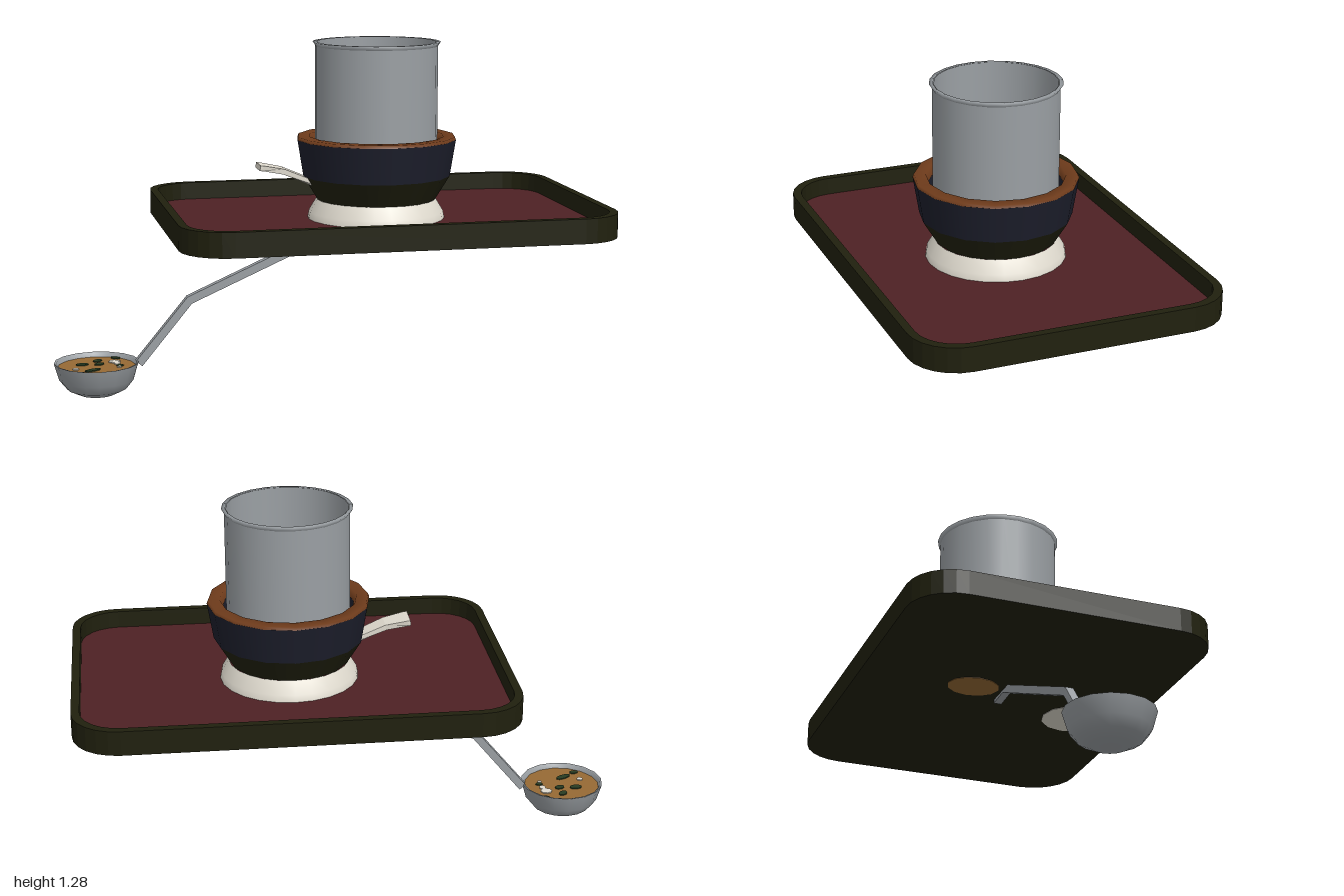
import * as THREE from 'three';

const mat = (name, color) => {
  const m = new THREE.MeshStandardMaterial({ color, side: THREE.DoubleSide });
  m.name = name;
  return m;
};

export function createModel() {
  const root = new THREE.Group();
  const M = {
    lacquer: mat('dark lacquer', 0x20200e),
    maroon: mat('maroon', 0x4e2124),
    navy: mat('navy glaze', 0x1c1e2b),
    brown: mat('brown rim', 0x6e3b1b),
    steel: mat('steel', 0x9a9fa3),
    ceramic: mat('white ceramic', 0xe0dbcf),
    broth: mat('broth', 0x966a34),
    herb: mat('herb green', 0x283c22),
  };
  const add = (parent, name, geo, m, x = 0, y = 0, z = 0) => {
    const mesh = new THREE.Mesh(geo, m);
    mesh.name = name;
    mesh.position.set(x, y, z);
    parent.add(mesh);
    return mesh;
  };
  const group = (name, x = 0, y = 0, z = 0) => {
    const g = new THREE.Group();
    g.name = name;
    g.position.set(x, y, z);
    root.add(g);
    return g;
  };
  const lathe = (pts, sides) =>
    new THREE.LatheGeometry(pts.map(p => new THREE.Vector2(p[0], p[1])), sides);

  // Rounded rectangle lying flat, half sizes a and b
  const roundRect = (a, b, r, Type = THREE.Shape) => {
    const s = new Type();
    s.moveTo(-a + r, -b);
    s.lineTo(a - r, -b);
    s.absarc(a - r, -b + r, r, -Math.PI / 2, 0, false);
    s.absarc(a - r, b - r, r, 0, Math.PI / 2, false);
    s.absarc(-a + r, b - r, r, Math.PI / 2, Math.PI, false);
    s.absarc(-a + r, -b + r, r, Math.PI, Math.PI * 1.5, false);
    return s;
  };
  const slab = (shape, depth) => new THREE.ExtrudeGeometry(shape,
    { depth, bevelEnabled: false, curveSegments: 3 }).rotateX(-Math.PI / 2);

  // Tray: raised wall, base and coloured floor
  const tray = group('tray', 0.205, 0.605, 0);
  const wall = roundRect(0.795, 0.565, 0.17);
  wall.holes.push(roundRect(0.765, 0.535, 0.145, THREE.Path));
  add(tray, 'trayWall', slab(wall, 0.09), M.lacquer);
  add(tray, 'trayBase', slab(roundRect(0.78, 0.55, 0.16), 0.018), M.lacquer);
  add(tray, 'trayFloor', slab(roundRect(0.767, 0.537, 0.145), 0.006), M.maroon, 0, 0.019, 0);

  // Bowl on its white foot
  const bowl = group('bowl', 0.205, 0, 0);
  add(bowl, 'foot', lathe([[0.255, 0.628], [0.25, 0.655], [0.222, 0.702]], 24), M.ceramic);
  add(bowl, 'lowerBowl', lathe([[0.22, 0.7], [0.275, 0.79]], 16), M.lacquer);
  add(bowl, 'upperBowl', lathe([[0.275, 0.79], [0.297, 0.925]], 16), M.navy);
  add(bowl, 'bowlRim', lathe([[0.297, 0.925], [0.293, 0.936], [0.25, 0.936], [0.24, 0.91]], 16), M.brown);
  add(bowl, 'bowlInside', lathe([[0.24, 0.91], [0.22, 0.8], [0.16, 0.712]], 16), M.navy);
  add(bowl, 'bowlBottom', new THREE.CylinderGeometry(0.168, 0.168, 0.008, 24), M.ceramic, 0, 0.715, 0);

  // Open steel tube with a flared lip
  const pot = group('pot', 0.205, 0, 0);
  add(pot, 'potOuter', lathe([[0.226, 0.77], [0.226, 1.27]], 24), M.steel);
  add(pot, 'potLip', lathe([[0.226, 1.268], [0.236, 1.283], [0.222, 1.283]], 24), M.steel);
  add(pot, 'potInner', lathe([[0.22, 1.283], [0.216, 0.77]], 24), M.steel);

  // Bar that follows a side profile, extruded across z
  const bar = (pts, thick, width) => {
    const up = [], down = [];
    pts.forEach((p, i) => {
      const a = pts[Math.max(i - 1, 0)], b = pts[Math.min(i + 1, pts.length - 1)];
      const n = new THREE.Vector2(a[1] - b[1], b[0] - a[0]).setLength(thick / 2);
      up.push(new THREE.Vector2(p[0] + n.x, p[1] + n.y));
      down.unshift(new THREE.Vector2(p[0] - n.x, p[1] - n.y));
    });
    return new THREE.ExtrudeGeometry(new THREE.Shape([...up, ...down]),
      { depth: width, bevelEnabled: false }).translate(0, 0, -width / 2);
  };

  // Spoon through the bowl wall, widening toward its outer end
  const spoonGeo = bar([[-0.24, 0.832], [-0.225, 0.83], [-0.15, 0.815], [-0.09, 0.79],
    [0, 0.75], [0.085, 0.728]], 0.02, 1);
  const sp = spoonGeo.attributes.position;
  for (let i = 0; i < sp.count; i++) {
    const x = sp.getX(i);
    sp.setZ(i, sp.getZ(i) * (x < -0.22 ? 0.095 : x < -0.12 ? 0.078 : 0.066));
  }
  spoonGeo.computeVertexNormals();
  add(root, 'spoon', spoonGeo, M.ceramic);

  // Ladle: cup, broth with pieces, bent handle
  const ladle = group('ladle', -0.845, 0, 0);
  add(ladle, 'ladleCup', lathe([[0, 0], [0.065, 0.008], [0.11, 0.03], [0.138, 0.065], [0.156, 0.127]], 16), M.steel);
  add(ladle, 'ladleInside', lathe([[0.156, 0.127], [0.148, 0.125], [0.14, 0.1]], 16), M.steel);
  add(ladle, 'broth', new THREE.CylinderGeometry(0.144, 0.142, 0.006, 16), M.broth, 0, 0.107, 0);
  const piece = (name, m, x, z, rx, rz, turn) => {
    const p = add(ladle, name, new THREE.CylinderGeometry(1, 1, 0.004, 8), m, x, 0.112, z);
    p.scale.set(rx, 1, rz);
    p.rotation.y = turn;
  };
  [[-0.05, -0.03, 0.024, 0.016, 0.1], [0.01, -0.075, 0.02, 0.014, 0.8], [0.012, -0.025, 0.02, 0.014, 0.4],
    [-0.02, 0.06, 0.034, 0.014, 0.5], [-0.07, 0.095, 0.018, 0.012, 0.2], [0.08, -0.105, 0.02, 0.012, -0.7],
    [0.085, 0.01, 0.014, 0.011, 0]].forEach(h => piece('herbPiece', M.herb, ...h));
  [[0.07, -0.05, 0.022, 0.02, 0], [0.078, -0.02, 0.012, 0.016, 0], [-0.08, 0.035, 0.012, 0.012, 0],
    [0.08, 0.03, 0.008, 0.008, 0]].forEach(t => piece('palePiece', M.ceramic, ...t));
  add(root, 'ladleHandle', bar([[-0.69, 0.115], [-0.5, 0.345], [0.1, 0.61], [0.2, 0.606]], 0.03, 0.03), M.steel);

  // Thin patches under the tray
  const under = (name, m, x, z, rx, rz) =>
    add(root, name, new THREE.CylinderGeometry(1, 1, 0.004, 12), m, x, 0.605, z).scale.set(rx, 1, rz);
  under('underBroth', M.broth, 0.11, -0.13, 0.08, 0.1);
  under('underPale', M.ceramic, 0.26, 0.33, 0.12, 0.12);

  return root;
}
